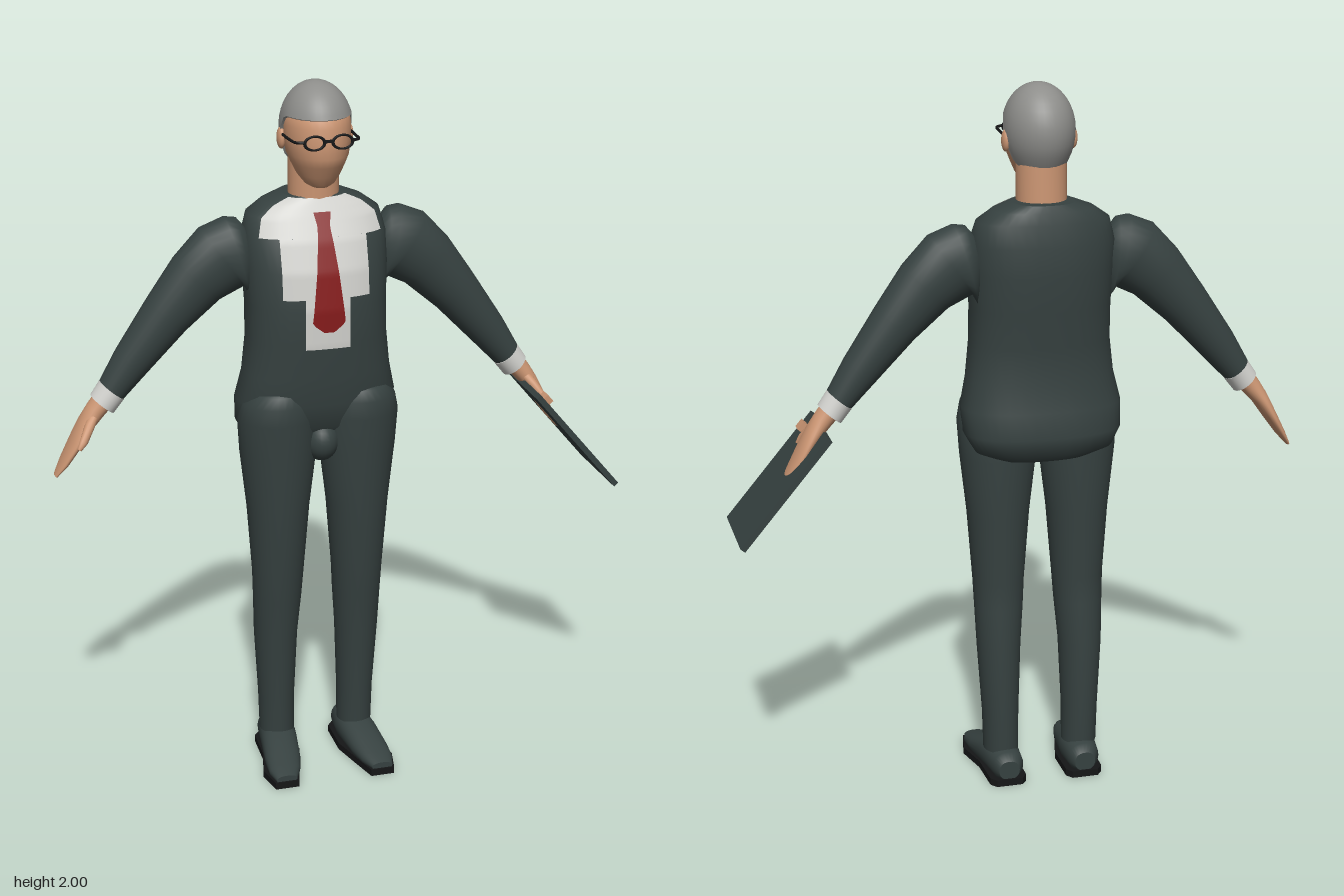
import * as THREE from 'three';

const mat = (name, color, side = THREE.FrontSide) => {
  const m = new THREE.MeshStandardMaterial({ color, side });
  m.name = name;
  return m;
};

// Closed skin over rings of points running bottom to top, with flat end caps; side -1 mirrors in x
function skin(rings, side = 1) {
  const n = rings[0].length, pos = [], idx = [];
  const tri = (a, b, c) => (side > 0 ? idx.push(a, b, c) : idx.push(a, c, b));
  const add = p => pos.push(p[0] * side, p[1], p[2]) / 3 - 1;
  rings.forEach(r => r.forEach(add));
  for (let i = 0; i < rings.length - 1; i++) {
    for (let j = 0; j < n; j++) {
      const a = i * n + j, b = i * n + (j + 1) % n, c = a + n, d = b + n;
      tri(a, c, d);
      tri(a, d, b);
    }
  }
  [rings[0], rings[rings.length - 1]].forEach((r, top) => {
    const mid = [0, 1, 2].map(k => r.reduce((s, p) => s + p[k], 0) / n);
    const c = add(mid), first = c + 1;
    r.forEach(add);
    for (let j = 0; j < n; j++) {
      const a = first + j, b = first + (j + 1) % n;
      if (top) tri(c, b, a); else tri(c, a, b);
    }
  });
  const g = new THREE.BufferGeometry();
  g.setAttribute('position', new THREE.Float32BufferAttribute(pos, 3));
  g.setIndex(idx);
  g.computeVertexNormals();
  return g;
}

// Loft through sections [x, y, z, radius across, radius in z, tilt]
function loft(sections, side = 1, power = 2, n = 28) {
  const bend = v => Math.sign(v) * Math.abs(v) ** (2 / power);
  return skin(sections.map(([x, y, z, a, b, tilt = 0]) => Array.from({ length: n }, (_, j) => {
    const t = (j / n) * Math.PI * 2, u = a * bend(Math.cos(t)), v = b * bend(Math.sin(t));
    return [x + u * Math.cos(tilt), y + u * Math.sin(tilt), z + v];
  })), side);
}

// Jacket profile: [y, half width, front z, back z]
const TORSO = [
  [0.97, 0.13, 0, -0.12], [1.0, 0.195, 0.04, -0.165], [1.05, 0.222, 0.075, -0.175],
  [1.12, 0.225, 0.095, -0.165], [1.2, 0.207, 0.1, -0.147], [1.3, 0.196, 0.11, -0.15],
  [1.4, 0.195, 0.112, -0.16], [1.5, 0.2, 0.1, -0.165], [1.58, 0.2, 0.075, -0.162],
  [1.64, 0.183, 0.045, -0.15], [1.67, 0.14, 0.03, -0.142], [1.69, 0.085, 0.02, -0.135],
];
const TORSO_POWER = 2.4;

function interp(table, y) {
  let i = 0;
  while (i < table.length - 2 && y > table[i + 1][0]) i++;
  const p = table[i], q = table[i + 1];
  const f = THREE.MathUtils.clamp((y - p[0]) / (q[0] - p[0]), 0, 1);
  return p.map((v, k) => v + (q[k] - v) * f);
}

// Thin panel lying on the chest, with half widths given as [y, w] from low to high
function chestPanel(widths, offset) {
  const y0 = widths[0][0], y1 = widths[widths.length - 1][0];
  const g = new THREE.PlaneGeometry(2, 1, 14, Math.ceil((y1 - y0) / 0.01));
  const p = g.attributes.position;
  for (let i = 0; i < p.count; i++) {
    const y = y0 + (p.getY(i) + 0.5) * (y1 - y0);
    const [, hw, front, back] = interp(TORSO, y);
    const x = p.getX(i) * Math.min(interp(widths, y)[1], hw * 0.86);
    const bulge = (1 - Math.abs(x / hw) ** TORSO_POWER) ** (1 / TORSO_POWER);
    p.setXYZ(i, x, y, (front + back) / 2 + ((front - back) / 2) * bulge + offset);
  }
  g.computeVertexNormals();
  return g;
}

export function createModel() {
  const suit = mat('suit', 0x364140), skinTone = mat('skin', 0xcc9673), hairGrey = mat('hair', 0x8e8e8b);
  const white = mat('shirt', 0xd2d2ce, THREE.DoubleSide), red = mat('tie', 0x861b1b, THREE.DoubleSide);
  const black = mat('black', 0x151617);
  const root = new THREE.Group();
  root.name = 'businessman';
  const body = new THREE.Group();
  body.name = 'body';
  body.position.x = -0.068;
  root.add(body);
  const add = (name, geo, m, x = 0, y = 0, z = 0) => {
    const mesh = new THREE.Mesh(geo, m);
    mesh.name = name;
    mesh.position.set(x, y, z);
    body.add(mesh);
    return mesh;
  };
  const ball = (rx, ry, rz) => new THREE.SphereGeometry(1, 24, 16).scale(rx, ry, rz);

  // Jacket, shirt front and tie
  add('jacket', loft(TORSO.map(([y, w, f, b]) => [0, y, (f + b) / 2, w, (f - b) / 2]), 1, TORSO_POWER, 40), suit);
  add('shirtUpper', chestPanel([[1.59, 0.17], [1.688, 0.17]], 0.005), white);
  add('shirtMiddle', chestPanel([[1.43, 0.12], [1.59, 0.12]], 0.005), white);
  add('shirtLower', chestPanel([[1.29, 0.062], [1.43, 0.062]], 0.005), white);
  add('tie', chestPanel([[1.34, 0.014], [1.365, 0.046], [1.39, 0.043], [1.62, 0.017], [1.655, 0.024]], 0.013), red);
  add('crotch', ball(0.05, 0.06, 0.06), suit, 0, 1.0, 0.03);

  // Neck, head and hair
  add('neck', loft([[0, 1.62, -0.04, 0.07, 0.066], [0, 1.7, -0.038, 0.069, 0.066], [0, 1.82, -0.035, 0.069, 0.066]]), skinTone);
  add('head', loft([
    [0, 1.722, 0.032, 0.022, 0.024], [0, 1.732, 0.026, 0.04, 0.043], [0, 1.755, 0.014, 0.058, 0.068],
    [0, 1.785, 0.007, 0.072, 0.094], [0, 1.81, 0.004, 0.082, 0.109], [0, 1.85, 0, 0.09, 0.114],
    [0, 1.89, -0.002, 0.09, 0.113], [0, 1.92, -0.006, 0.086, 0.107], [0, 1.95, -0.01, 0.06, 0.08],
  ]), skinTone);
  const hairRings = Array.from({ length: 13 }, (_, i) => Array.from({ length: 40 }, (_, j) => {
    const t = (j / 40) * Math.PI * 2;
    const low = 1.785 + 0.13 * THREE.MathUtils.smoothstep(Math.sin(t), -0.45, 0.25);
    const y = low + (2 - low) * Math.sin((i / 12) * Math.PI / 2);
    const r = Math.sqrt(Math.max(0, 1 - ((y - 1.875) / (y > 1.875 ? 0.125 : 0.14)) ** 2));
    return [0.098 * r * Math.cos(t), y, -0.008 + 0.122 * r * Math.sin(t)];
  }));
  add('hair', skin(hairRings), hairGrey);

  // Glasses bridge
  add('glassesBridge', new THREE.BoxGeometry(0.024, 0.007, 0.007), black, 0, 1.863, 0.12);

  for (const s of [1, -1]) {
    const side = s > 0 ? 'left' : 'right';
    add(side + 'Ear', ball(0.012, 0.03, 0.02), skinTone, s * 0.093, 1.848, -0.018);

    // Lens rim and temple
    add(side + 'LensRim', new THREE.TorusGeometry(0.027, 0.0045, 8, 24).scale(1, 0.68, 1), black, s * 0.038, 1.86, 0.12);
    const temple = new THREE.CatmullRomCurve3([
      new THREE.Vector3(s * 0.064, 1.863, 0.12), new THREE.Vector3(s * 0.084, 1.862, 0.108),
      new THREE.Vector3(s * 0.091, 1.86, 0.05), new THREE.Vector3(s * 0.093, 1.86, -0.01)]);
    add(side + 'Temple', new THREE.TubeGeometry(temple, 12, 0.004, 6), black);

    // Sleeve, cuff, hand and thumb
    add(side + 'Sleeve', loft([
      [0.577, 1.16, -0.05, 0.039, 0.042, 0.7], [0.51, 1.25, -0.05, 0.054, 0.051, 0.72],
      [0.41, 1.375, -0.048, 0.07, 0.062, 0.74], [0.325, 1.47, -0.046, 0.087, 0.068, 0.78],
      [0.255, 1.525, -0.045, 0.103, 0.073, 0.95], [0.215, 1.522, -0.045, 0.118, 0.073, 1.3],
      [0.2, 1.52, -0.045, 0.112, 0.068, 1.45], [0.185, 1.52, -0.045, 0.085, 0.05, 1.5],
    ], s), suit);
    add(side + 'Cuff', loft([[0.594, 1.136, -0.05, 0.04, 0.044, 0.7], [0.566, 1.174, -0.05, 0.042, 0.046, 0.7]], s), white);
    add(side + 'Hand', loft([
      [0.73, 0.94, -0.05, 0.005, 0.018, 0.58], [0.705, 0.978, -0.05, 0.012, 0.038, 0.58],
      [0.67, 1.035, -0.05, 0.018, 0.047, 0.58], [0.64, 1.085, -0.05, 0.023, 0.041, 0.6],
      [0.613, 1.12, -0.05, 0.028, 0.031, 0.65], [0.58, 1.16, -0.05, 0.031, 0.033, 0.7],
    ], s), skinTone);
    add(side + 'Thumb', loft([
      [0.672, 1.035, 0.022, 0.006, 0.006, 0.6], [0.658, 1.055, 0.014, 0.012, 0.012, 0.6],
      [0.635, 1.09, -0.015, 0.014, 0.018, 0.6], [0.62, 1.11, -0.035, 0.014, 0.02, 0.6],
    ], s, 2, 14), skinTone);

    // Trouser leg
    add(side + 'Leg', loft([
      [0.117, 0.085, -0.042, 0.05, 0.056], [0.118, 0.2, -0.041, 0.052, 0.061], [0.12, 0.4, -0.032, 0.062, 0.07],
      [0.117, 0.52, -0.02, 0.069, 0.073], [0.116, 0.6, -0.013, 0.073, 0.077], [0.115, 0.8, -0.008, 0.088, 0.093],
      [0.114, 0.97, -0.005, 0.108, 0.1], [0.117, 1.07, 0, 0.111, 0.104], [0.118, 1.12, 0.012, 0.098, 0.091],
      [0.117, 1.15, 0.025, 0.07, 0.065], [0.115, 1.165, 0.03, 0.03, 0.03],
    ], s), suit);

    // Shoe upper, lofted heel to toe, on a flat sole
    add(side + 'Shoe', loft([
      [0.113, -0.13, -0.045, 0.03, 0.028], [0.113, -0.112, -0.053, 0.045, 0.042], [0.115, -0.04, -0.055, 0.053, 0.046],
      [0.12, 0, -0.052, 0.053, 0.045], [0.13, 0.08, -0.038, 0.052, 0.031], [0.138, 0.135, -0.03, 0.045, 0.022],
      [0.142, 0.175, -0.025, 0.03, 0.012],
    ], s, 2.3).rotateX(Math.PI / 2), suit);
    const outline = [[0.075, -0.135], [0.06, -0.115], [0.06, 0], [0.086, 0.1], [0.108, 0.18],
      [0.176, 0.18], [0.193, 0.1], [0.17, 0], [0.166, -0.115], [0.15, -0.135]];
    const sole = new THREE.Shape(outline.map(([x, z]) => new THREE.Vector2(s * x, z)));
    add(side + 'Sole', new THREE.ExtrudeGeometry(sole, { depth: 0.02, bevelEnabled: false }).rotateX(Math.PI / 2), black, 0, 0.02, 0);
  }

  // Flat folder held in the left hand, with the thumb tip showing on its face
  const folder = add('folder', new THREE.BoxGeometry(0.016, 0.38, 0.26), suit, 0.733, 0.945, -0.015);
  folder.rotation.z = 0.7;
  const tip = add('thumbTip', new THREE.BoxGeometry(0.024, 0.026, 0.034), skinTone, 0.648, 1.066, 0.068);
  tip.rotation.z = 0.7;
  return root;
}
